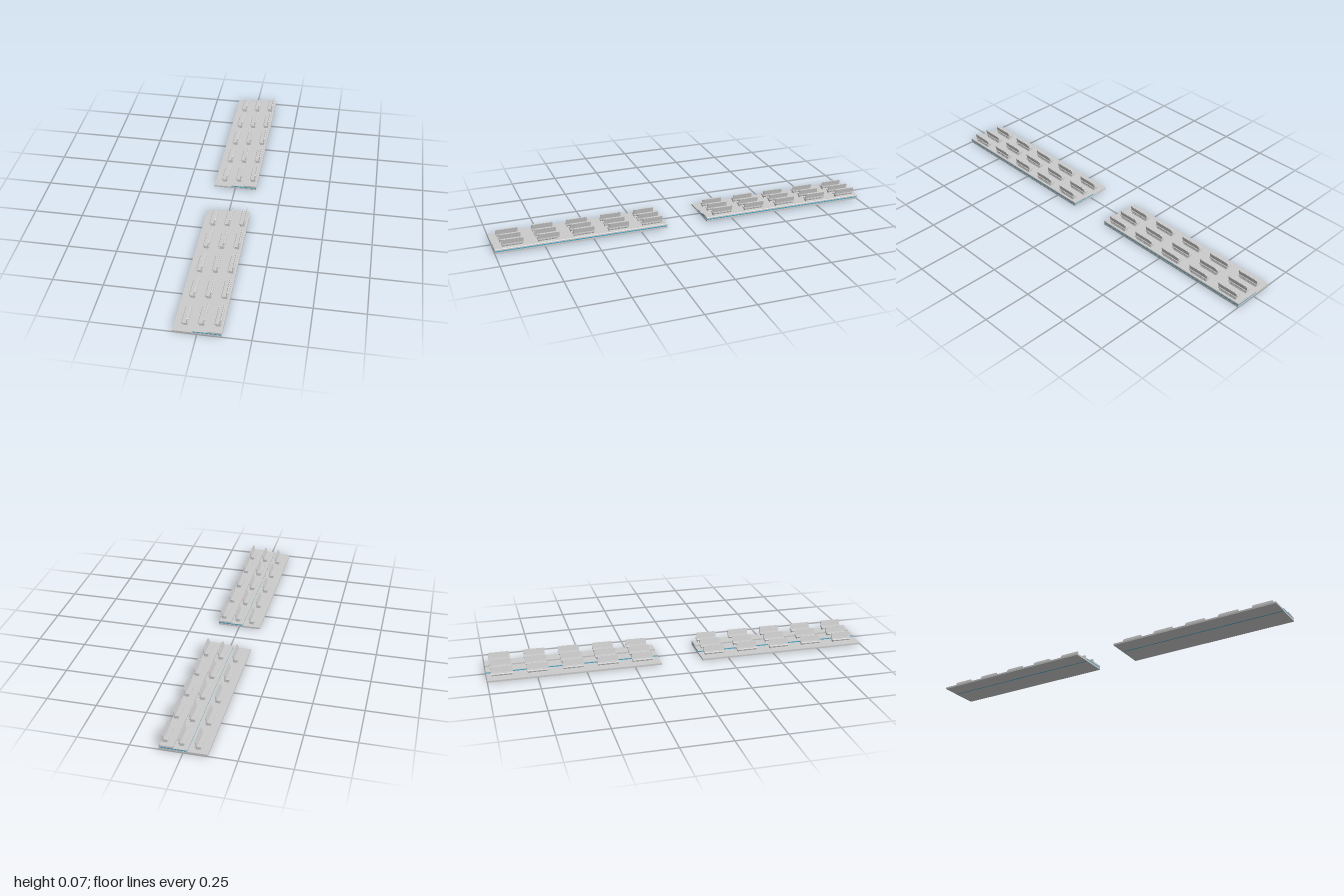
import * as THREE from 'three';

const grey = new THREE.MeshStandardMaterial({ color: 0xcccccc, flatShading: true });
const blue = new THREE.MeshStandardMaterial({ color: 0x3fa9d0, flatShading: true });

// Extrude an (x, y) outline along z, centred on z = 0
function prism(name, points, length, material = grey) {
  const shape = new THREE.Shape(points.map(([x, y]) => new THREE.Vector2(x, y)));
  const geometry = new THREE.ExtrudeGeometry(shape, { depth: length, bevelEnabled: false });
  geometry.translate(0, 0, -length / 2);
  const mesh = new THREE.Mesh(geometry, material);
  mesh.name = name;
  return mesh;
}

function slab(name, x0, x1, y0, y1, length, material) {
  return prism(name, [[x0, y0], [x1, y0], [x1, y1], [x0, y1]], length, material);
}

// Panel with rounded corners, standing in the (z, y) plane and leaning back to +x
function backPanel(name, x, y, height, width, thickness, lean) {
  const r = height * 0.3, w = width / 2;
  const s = new THREE.Shape();
  s.moveTo(-w, 0);
  s.lineTo(w, 0);
  s.lineTo(w, height - r);
  s.quadraticCurveTo(w, height, w - r, height);
  s.lineTo(-w + r, height);
  s.quadraticCurveTo(-w, height, -w, height - r);
  const geometry = new THREE.ExtrudeGeometry(s, { depth: thickness, bevelEnabled: false, curveSegments: 4 });
  geometry.rotateY(Math.PI / 2);
  geometry.rotateZ(-lean);
  geometry.translate(x, y, 0);
  const mesh = new THREE.Mesh(geometry, grey);
  mesh.name = name;
  return mesh;
}

// One bench, standing on its own y = 0 with its pedestal centred on x = 0
function createBench() {
  const bench = new THREE.Group();
  bench.name = 'bench';
  bench.add(
    prism('pedestal', [[-0.012, 0], [0.012, 0], [0.01, 0.006], [0.012, 0.011],
      [0.015, 0.013], [-0.015, 0.013], [-0.012, 0.011], [-0.01, 0.006]], 0.1),
    prism('seat', [[-0.016, 0.013], [0.014, 0.013], [0.014, 0.018], [-0.014, 0.018], [-0.016, 0.016]], 0.11),
    backPanel('backrest', 0.0045, 0.017, 0.03, 0.11, 0.0045, 0.22),
    backPanel('backrestPad', 0.01, 0.03, 0.0155, 0.1, 0.0035, 0.22));
  return bench;
}

// One stepped stand with three rows of five benches
function createStand() {
  const stand = new THREE.Group();
  stand.name = 'stand';
  const length = 0.89;
  stand.add(
    slab('base', -0.113, 0.113, 0, 0.009, length),
    slab('undersideStrip', -0.023, -0.017, -0.0002, 0.001, length - 0.01, blue),
    slab('middleStepCore', -0.019, 0.112, 0.009, 0.0155, length - 0.002, blue),
    slab('middleStepTop', -0.02, 0.113, 0.0145, 0.016, length),
    prism('upperStep', [[0.046, 0.016], [0.113, 0.016], [0.113, 0.021], [0.11, 0.0235], [0.046, 0.0235]], length));
  [[-0.062, 0.0085], [0.0145, 0.016], [0.091, 0.0235]].forEach(([x, y]) => {
    for (let i = -2; i <= 2; i++) {
      const bench = createBench();
      bench.position.set(x, y, i * 0.1805 - 0.007);
      stand.add(bench);
    }
  });
  return stand;
}

export function createModel() {
  const model = new THREE.Group();
  model.name = 'seatingStands';
  for (const side of [-1, 1]) {
    const stand = createStand();
    stand.position.z = side * 0.555;
    model.add(stand);
  }
  return model;
}
